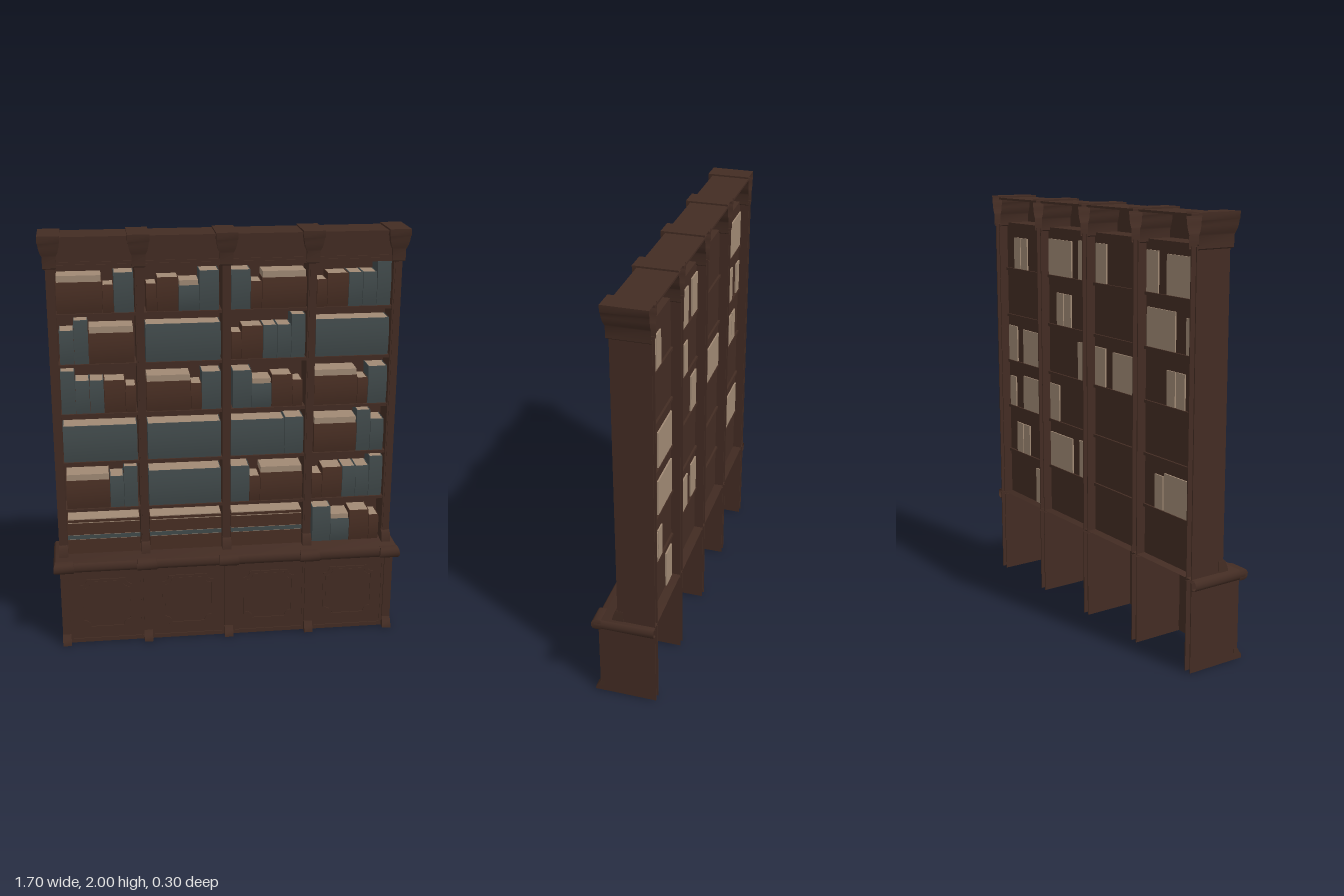
import * as THREE from 'three';
import { toCreasedNormals } from 'three/addons/utils/BufferGeometryUtils.js';

const flat = (name, color, side = THREE.FrontSide) => {
  const m = new THREE.MeshStandardMaterial({ color, side });
  m.name = name;
  return m;
};

export function createModel() {
  const wood = flat('dark wood', 0x432c23, THREE.DoubleSide);
  const leather = flat('brown leather', 0x482e23);
  const cloth = flat('slate cloth', 0x414a4b);
  const paper = flat('paper', 0xa08974);
  const model = new THREE.Group();
  model.name = 'bookcase';

  const add = (name, geo, mat, parent = model) => {
    const mesh = new THREE.Mesh(geo, mat);
    mesh.name = name;
    parent.add(mesh);
    return mesh;
  };
  // Box given by its limits on each axis
  const slab = (name, x0, x1, y0, y1, z0, z1, mat = wood, parent = model) => {
    const mesh = add(name, new THREE.BoxGeometry(x1 - x0, y1 - y0, z1 - z0), mat, parent);
    mesh.position.set((x0 + x1) / 2, (y0 + y1) / 2, (z0 + z1) / 2);
    return mesh;
  };
  // Moulded block from rows of [y, half width, front z]; open drops its back and underside
  const moulded = (name, x, rows, zBack, open = false) => {
    const n = rows.length - 1;
    const geo = new THREE.BoxGeometry(2, 1, 1, 1, n, 1);
    const p = geo.attributes.position;
    for (let i = 0; i < p.count; i++) {
      const [y, half, front] = rows[Math.round((p.getY(i) + 0.5) * n)];
      p.setXYZ(i, Math.sign(p.getX(i)) * half, y, p.getZ(i) > 0 ? front : zBack);
    }
    if (open) {
      const all = Array.from(geo.index.array);
      const kept = geo.groups.filter((g) => g.materialIndex !== 3 && g.materialIndex !== 5);
      geo.setIndex(kept.flatMap((g) => all.slice(g.start, g.start + g.count)));
    }
    geo.clearGroups();
    const mesh = add(name, toCreasedNormals(geo, 0.7), wood);
    mesh.position.x = x;
    return mesh;
  };
  // Post made of a front board and two cheeks, hollow behind
  const post = (name, x, y0, y1, front) => {
    slab(name + 'Front', x - 0.02, x + 0.02, y0, y1, front - 0.015, front);
    for (const s of [-1, 1]) {
      const cx = x + s * 0.0175;
      slab(name + 'Cheek', cx - 0.0025, cx + 0.0025, y0, y1, -0.15, front - 0.015);
    }
  };

  // Posts with feet, plinths, counter breaks and capitals
  for (const x of [-0.8, -0.4, 0, 0.4, 0.8]) {
    post('basePost', x, 0, 0.42, 0.12);
    post('upperPost', x, 0.43, 1.86, 0.026);
    slab('postFillet', x - 0.013, x + 0.013, 0.49, 1.85, 0.026, 0.03);
    moulded('foot', x, [[0, 0.021, 0.145], [0.018, 0.021, 0.143], [0.035, 0.021, 0.13], [0.052, 0.0205, 0.121]], 0.1);
    moulded('plinth', x, [[0.43, 0.0225, 0.053], [0.45, 0.0225, 0.051], [0.47, 0.022, 0.044], [0.485, 0.0215, 0.037], [0.49, 0.021, 0.031]], 0.0);
    moulded('counterBreak', x, [[0.384, 0.044, 0.128], [0.39, 0.048, 0.138], [0.402, 0.0495, 0.145],
      [0.418, 0.0495, 0.145], [0.43, 0.047, 0.139], [0.436, 0.044, 0.13]], 0.1, true);
    moulded('capital', x, [[1.848, 0.026, 0.032], [1.853, 0.031, 0.037], [1.905, 0.031, 0.038], [1.912, 0.034, 0.04],
      [1.925, 0.04, 0.044], [1.945, 0.045, 0.048], [1.965, 0.047, 0.05], [1.97, 0.05, 0.052], [2, 0.05, 0.052]], -0.15, true);
  }

  // Counter with a rounded edge, hollow beneath
  moulded('counter', 0, [[0.385, 0.835, 0.118], [0.391, 0.844, 0.126], [0.402, 0.85, 0.131],
    [0.418, 0.85, 0.131], [0.43, 0.844, 0.126], [0.435, 0.838, 0.12]], -0.15, true);
  for (const s of [-1, 1]) slab('counterReturn', s * 0.8275 - 0.0075, s * 0.8275 + 0.0075, 0.385, 0.39, -0.15, 0.118);

  // Doors: notched moulding around a low raised panel
  const notched = (Type, a, b, r) => {
    const s = new Type();
    s.moveTo(-a + r, -b);
    s.lineTo(a - r, -b);
    s.absarc(a, -b, r, Math.PI, Math.PI / 2, true);
    s.lineTo(a, b - r);
    s.absarc(a, b, r, -Math.PI / 2, -Math.PI, true);
    s.lineTo(-a + r, b);
    s.absarc(-a, b, r, 0, -Math.PI / 2, true);
    s.lineTo(-a, -b + r);
    s.absarc(-a, -b, r, Math.PI / 2, 0, true);
    return s;
  };
  const ring = notched(THREE.Shape, 0.126, 0.134, 0.032);
  ring.holes.push(notched(THREE.Path, 0.114, 0.122, 0.034));
  const extrude = (shape, depth) => new THREE.ExtrudeGeometry(shape, { depth, bevelEnabled: false, curveSegments: 5 });
  const ringGeo = extrude(ring, 0.005);
  const panelGeo = extrude(notched(THREE.Shape, 0.112, 0.12, 0.034), 0.003);

  // Books: [width, height, spine height, cover, pages show at the back]
  const kinds = {
    w: [0.21, 0.175, 0.145, leather, true],
    n: [0.052, 0.13, 0.13, leather, false],
    k: [0.05, 0.13, 0.13, leather, false],
    r: [0.1, 0.158, 0.158, leather, false],
    b: [0.092, 0.185, 0.185, cloth, true],
    c: [0.095, 0.142, 0.118, cloth, false],
    m: [0.067, 0.16, 0.16, cloth, true],
    t: [0.067, 0.208, 0.208, cloth, false],
    F: [0.352, 0.18, 0.18, cloth, false],
    G: [0.262, 0.18, 0.18, cloth, false],
  };
  // Spine gently rounded from top to bottom
  const spineBoard = (x0, x1, y, h, mat, parent) => {
    const geo = new THREE.BoxGeometry(x1 - x0, h, 0.004, 1, 6, 1);
    const p = geo.attributes.position;
    for (let i = 0; i < p.count; i++) {
      if (p.getZ(i) > 0) p.setZ(i, 0.002 + 0.009 * (1 - (2 * p.getY(i) / h) ** 2));
    }
    add('spine', toCreasedNormals(geo, 0.6), mat, parent).position.set((x0 + x1) / 2, y + h / 2, 0.006);
  };
  const book = (code, x, y, parent) => {
    const [w, h, spine, cover, deep] = kinds[code];
    const x1 = x + w - 0.002;
    const back = deep ? -0.112 : -0.098;
    const edge = 0.003;
    slab('pages', x + edge, x1 - edge, y + 0.001, y + h - (spine < h ? 0 : 0.002), back, 0.006, paper, parent);
    spineBoard(x, x1, y, spine, cover, parent);
    for (const a of [x, x1 - edge]) slab('coverBoard', a, a + edge, y, y + spine, -0.096, 0.004, cover, parent);
  };
  // Books lying flat in a pile
  const pile = (x, y, parent) => {
    const layers = [[leather, 0.073], [paper, 0.003], [cloth, 0.02], [paper, 0.003],
      [leather, 0.06], [paper, 0.005], [leather, 0.013], [paper, 0.004]];
    for (const [mat, h] of layers) {
      const inset = mat === paper ? 0.003 : 0;
      slab('flatBook', x + inset, x + 0.352 - inset, y, y + h, -0.098, 0.014 - inset, mat, parent);
      y += h;
    }
  };

  const floors = [1.637, 1.397, 1.155, 0.913, 0.672, 0.4365];
  const rows = [
    ['wnb', 'krcb', 'bnw', 'krmmt'],
    ['mtw', 'F', 'krmmt', 'F'],
    ['tmmrk', 'wnb', 'bcrk', 'wnb'],
    ['F', 'F', 'Gb', 'wtm'],
    ['wmt', 'F', 'bnw', 'krmmt'],
    ['S', 'S', 'S', 'bcrk'],
  ];

  // Four bays: door, cornice, back, shelves and books
  [-0.6, -0.2, 0.2, 0.6].forEach((cx, bay) => {
    const x0 = cx - 0.18;
    const x1 = cx + 0.18;
    slab('doorField', x0, x1, 0, 0.42, 0.102, 0.106);
    slab('doorTopRail', x0, x1, 0.37, 0.388, 0.106, 0.111);
    slab('doorBottomRail', x0, x1, 0, 0.02, 0.106, 0.111);
    for (const s of [-1, 1]) slab('doorStile', cx + s * 0.174 - 0.006, cx + s * 0.174 + 0.006, 0.02, 0.37, 0.106, 0.11);
    add('doorMoulding', ringGeo, wood).position.set(cx, 0.205, 0.106);
    add('doorPanel', panelGeo, wood).position.set(cx, 0.205, 0.106);

    slab('corniceFace', x0, x1, 1.865, 1.985, 0.014, 0.02);
    slab('corniceTop', x0, x1, 1.982, 1.992, -0.15, 0.032);
    slab('corniceBottom', x0, x1, 1.85, 1.866, -0.105, 0.03);
    slab('corniceBead', x0, x1, 1.866, 1.878, 0.02, 0.025);
    slab('backPanel', x0, x1, 0.43, 1.86, -0.105, -0.098);

    floors.forEach((y, r) => {
      if (r < 5) slab('shelf', x0, x1, y - 0.014, y, -0.115, 0.018);
      const shelfBooks = new THREE.Group();
      shelfBooks.name = 'shelfBooks';
      model.add(shelfBooks);
      const codes = rows[r][bay];
      if (codes === 'S') {
        pile(x0 + 0.004, y, shelfBooks);
        return;
      }
      const total = [...codes].reduce((sum, c) => sum + kinds[c][0], 0);
      let x = cx - total / 2;
      for (const c of codes) {
        book(c, x, y, shelfBooks);
        x += kinds[c][0];
      }
    });
  });

  return model;
}
